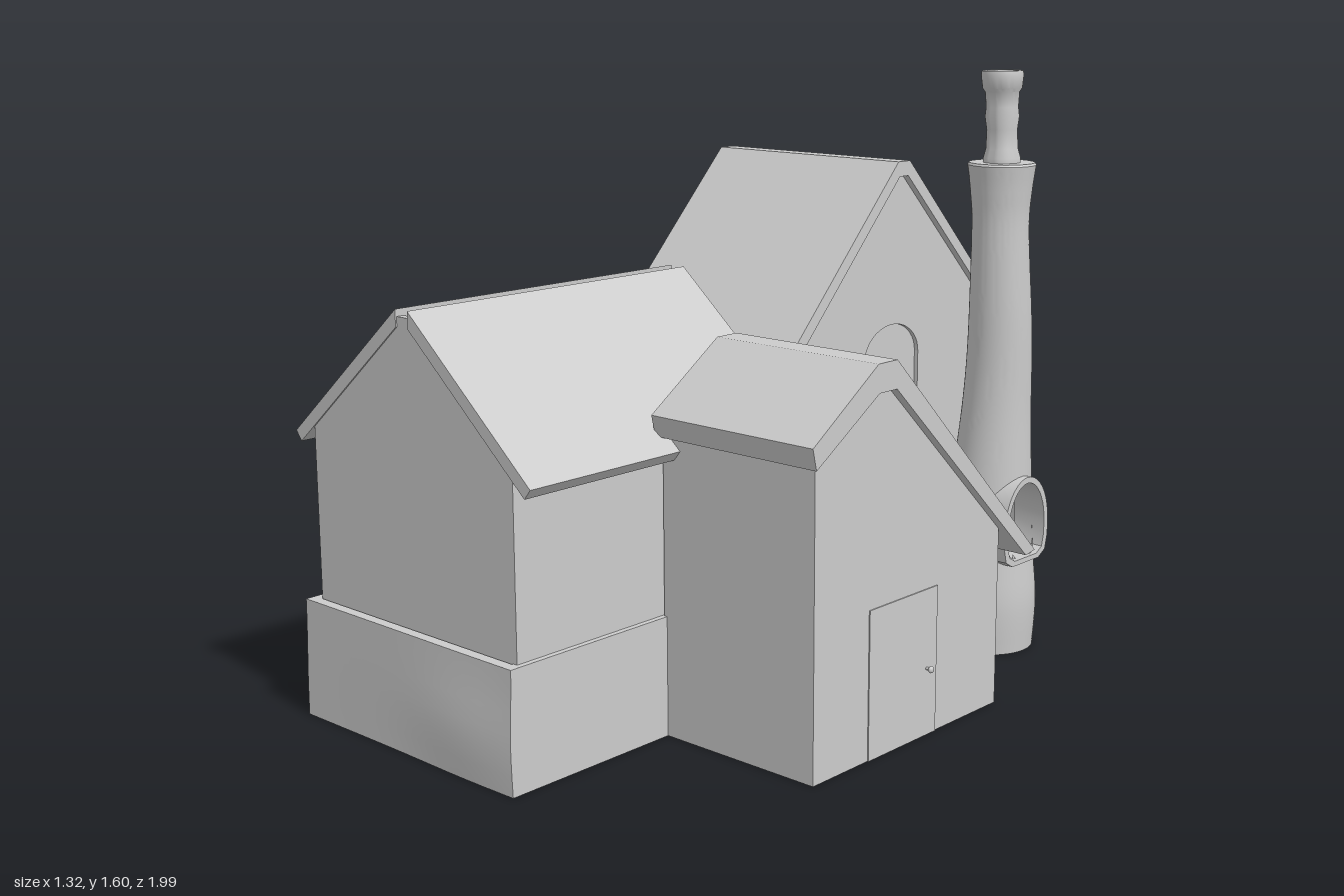
import * as THREE from 'three';
import { toCreasedNormals } from 'three/addons/utils/BufferGeometryUtils.js';

const material = new THREE.MeshStandardMaterial({ color: 0xcccccc, side: THREE.DoubleSide });

function add(parent, name, geometry) {
  const mesh = new THREE.Mesh(geometry, material);
  mesh.name = name;
  parent.add(mesh);
  return mesh;
}

const toShape = (points) => new THREE.Shape(points.map(([x, y]) => new THREE.Vector2(x, y)));

// Extrude an (x, y) profile from z0 to z1
function alongZ(points, z0, z1) {
  return new THREE.ExtrudeGeometry(toShape(points), { depth: z1 - z0, bevelEnabled: false }).translate(0, 0, z0);
}

// Extrude a (z, y) profile from x0 to x1, optionally with a hole
function alongX(points, x0, x1, hole) {
  const flip = (list) => list.map(([z, y]) => [-z, y]);
  const shape = toShape(flip(points));
  if (hole) shape.holes.push(toShape(flip(hole)));
  return new THREE.ExtrudeGeometry(shape, { depth: x1 - x0, bevelEnabled: false })
    .rotateY(Math.PI / 2).translate(x0, 0, 0);
}

// Box given by its minimum and maximum corners
function box(x0, x1, y0, y1, z0, z1) {
  return new THREE.BoxGeometry(x1 - x0, y1 - y0, z1 - z0)
    .translate((x0 + x1) / 2, (y0 + y1) / 2, (z0 + z1) / 2);
}

// Finely divided rectangle outline, so its sides can be bent
function outline(x0, x1, z0, z1) {
  const corners = [[x0, -z1], [x1, -z1], [x1, -z0], [x0, -z0]];
  const points = [];
  corners.forEach(([ax, ay], i) => {
    const [bx, by] = corners[(i + 1) % 4];
    for (let k = 0; k < 14; k++) {
      const t = k / 14;
      points.push([ax + (bx - ax) * t, ay + (by - ay) * t]);
    }
  });
  return points;
}

// Hollow stone plinth whose outer faces are displaced by bend(point)
function plinth(x0, x1, z0, z1, height, wall, bend) {
  const shape = toShape(outline(x0, x1, z0, z1));
  shape.holes.push(toShape(outline(x0 + wall, x1 - wall, z0 + wall, z1 - wall)));
  const geometry = new THREE.ExtrudeGeometry(shape, { depth: height, steps: 6, bevelEnabled: false })
    .rotateX(-Math.PI / 2);
  const position = geometry.attributes.position;
  const p = new THREE.Vector3();
  for (let i = 0; i < position.count; i++) {
    p.fromBufferAttribute(position, i);
    bend(p);
    position.setXYZ(i, p.x, p.y, p.z);
  }
  return toCreasedNormals(geometry, 0.6);
}

const bump = (v, centre, width) => Math.exp(-(((v - centre) / width) ** 2));

// Upright arch outline in (z, y)
function arch(z, halfWidth, y0, y1, rise, corner = 0) {
  const points = corner
    ? [[z - halfWidth, y0 + corner], [z - halfWidth * 0.9, y0 + corner * 0.3], [z - halfWidth * 0.6, y0],
      [z + halfWidth * 0.6, y0], [z + halfWidth * 0.9, y0 + corner * 0.3], [z + halfWidth, y0 + corner]]
    : [[z - halfWidth, y0], [z + halfWidth, y0]];
  for (let i = 0; i <= 20; i++) {
    const a = (i / 20) * Math.PI;
    points.push([z + halfWidth * Math.cos(a), y1 - rise + rise * Math.sin(a)]);
  }
  return points;
}

function frontHouse() {
  const group = new THREE.Group();
  group.name = 'frontHouse';
  const gable = [[-0.585, 0], [0.15, 0], [0.15, 0.765], [-0.2, 1.072], [-0.245, 1.072], [-0.585, 0.775]];
  add(group, 'frontGable', alongZ(gable, 0.93, 0.951));
  add(group, 'backGable', alongZ(gable, 0.033, 0.05));
  add(group, 'leftWall', box(0.13, 0.15, 0, 0.765, 0.04, 0.95));
  add(group, 'rightWall', box(-0.585, -0.565, 0, 0.77, 0.04, 0.95));
  // Two roof slabs with an open slot along the ridge
  const slab = [[0.022, 1.09], [0.435, 0.735], [0.415, 0.71], [0.022, 1.047]];
  for (const side of [-1, 1]) {
    add(group, side > 0 ? 'leftRoof' : 'rightRoof',
      alongZ(slab.map(([x, y]) => [-0.222 + side * x, y]), 0.028, 0.955));
  }
  add(group, 'frontPlinth', plinth(-0.61, 0.165, 0, 0.983, 0.31, 0.028, (p) => {
    const low = 1 - THREE.MathUtils.smoothstep(p.y, 0.03, 0.31);
    if (p.x < -0.6) p.x -= 0.05 * low * bump(p.z, 0.77, 0.16) + 0.008 * bump(p.z, 0.35, 0.15);
    if (p.z > 0.97) p.z += 0.014 * bump(p.x, 0, 0.2) * bump(p.y, 0.12, 0.12);
  }));
  return group;
}

function mainHouse() {
  const group = new THREE.Group();
  group.name = 'mainHouse';
  const gable = [[0, 0], [0, 0.87], [-0.43, 1.325], [-0.47, 1.325], [-0.935, 0.845], [-0.935, 0]];
  const windowArch = arch(-0.433, 0.118, 0.52, 0.913, 0.09);
  add(group, 'leftGable', alongX(gable, 0.115, 0.145, windowArch));
  add(group, 'rightGable', alongX(gable, -0.46, -0.44));
  add(group, 'archedWindow', alongX(windowArch, 0.118, 0.133));
  add(group, 'backWall', box(-0.455, 0.14, 0, 0.85, -0.935, -0.915));
  add(group, 'frontWall', box(-0.455, 0.14, 0, 0.87, -0.02, 0));
  add(group, 'mainRoof', alongX([
    [0.03, 0.878], [-0.425, 1.358], [-0.475, 1.358], [-0.998, 0.818],
    [-0.998, 0.78], [-0.468, 1.318], [-0.432, 1.318], [0.03, 0.83],
  ], -0.48, 0.165));
  add(group, 'mainPlinth', plinth(-0.495, 0.18, -0.96, 0, 0.33, 0.035, (p) => {
    if (p.x < -0.49) p.x -= 0.035 * bump(p.z, -0.38, 0.16) + 0.012 * bump(p.z, -0.93, 0.1) + 0.01 * bump(p.z, 0, 0.1);
    if (p.x > 0.175) p.x += 0.012 * bump(p.z, -0.9, 0.25);
    if (p.z < -0.95) p.z -= 0.01 * bump(p.x, 0.15, 0.1) * bump(p.y, 0.25, 0.12);
  }));
  return group;
}

function annex() {
  const group = new THREE.Group();
  group.name = 'annex';
  const gable = [[0.475, 0], [0.475, 0.8], [0.27, 0.93], [0.21, 0.93], [-0.255, 0.49], [-0.255, 0]];
  add(group, 'leftGable', alongX(gable, 0.615, 0.635));
  add(group, 'rightGable', alongX(gable, 0.156, 0.176));
  add(group, 'frontWall', box(0.16, 0.63, 0, 0.79, 0.455, 0.475));
  add(group, 'backWall', box(0.16, 0.63, 0, 0.48, -0.255, -0.235));
  // Long rear slope, short front slope
  add(group, 'annexRoof', alongX([
    [0.513, 0.822], [0.28, 0.98], [0.21, 0.98], [-0.385, 0.388],
    [-0.345, 0.382], [0.21, 0.91], [0.275, 0.91], [0.5, 0.768],
  ], 0.155, 0.66));
  add(group, 'door', box(0.625, 0.638, 0, 0.38, 0.005, 0.272));
  const stem = new THREE.CylinderGeometry(0.004, 0.004, 0.016, 10).rotateZ(Math.PI / 2);
  add(group, 'doorKnobStem', stem.translate(0.643, 0.175, 0.045));
  const knob = new THREE.SphereGeometry(0.009, 14, 10).scale(0.7, 1, 1);
  add(group, 'doorKnob', knob.translate(0.652, 0.175, 0.045));
  return group;
}

function chimney() {
  const group = new THREE.Group();
  group.name = 'chimney';
  const step = THREE.MathUtils.smoothstep;
  const centreX = (y) => 0.335 + 0.025 * step(y, 0.2, 1);
  const centreZ = (y) => -0.641 + 0.017 * step(y, 0.75, 1.25);

  // Stack: swelling foot, narrow waist, flared top
  const profile = new THREE.SplineCurve([
    [0.13, 0], [0.136, 0.14], [0.122, 0.3], [0.108, 0.5], [0.094, 0.7],
    [0.085, 0.95], [0.077, 1.18], [0.083, 1.28], [0.092, 1.35],
  ].map(([r, y]) => new THREE.Vector2(r, y))).getSpacedPoints(80);
  profile.push(new THREE.Vector2(0.088, 1.356), new THREE.Vector2(0.04, 1.356));
  const stack = new THREE.LatheGeometry(profile, 64);
  const position = stack.attributes.position;
  for (let i = 0; i < position.count; i++) {
    const y = position.getY(i);
    position.setX(i, position.getX(i) + centreX(y));
    position.setZ(i, position.getZ(i) + centreZ(y));
  }
  // Leave out the faces behind the hearth mouth
  const index = stack.index.array;
  const kept = [];
  for (let i = 0; i < index.length; i += 3) {
    const tri = [index[i], index[i + 1], index[i + 2]];
    const mean = (get) => tri.reduce((sum, v) => sum + get(v), 0) / 3;
    const x = mean((v) => position.getX(v));
    const dy = (mean((v) => position.getY(v)) - 0.38) / 0.112;
    const dz = (mean((v) => position.getZ(v)) + 0.632) / 0.092;
    if (x < 0.35 || dy * dy + dz * dz > 1) kept.push(...tri);
  }
  stack.setIndex(kept);
  add(group, 'chimneyStack', toCreasedNormals(stack, 0.7));

  // Hearth mouth with a raised rim
  const rim = alongX(arch(-0.632, 0.104, 0.258, 0.5, 0.14, 0.06), 0.37, 0.468,
    arch(-0.632, 0.086, 0.272, 0.483, 0.125, 0.05));
  add(group, 'hearthRim', toCreasedNormals(rim, 0.7));

  // Open pot with a collar, leaning a little
  const pot = new THREE.LatheGeometry([
    [0.05, 0], [0.05, 0.015], [0.043, 0.04], [0.041, 0.09], [0.046, 0.125], [0.043, 0.15], [0.046, 0.19],
    [0.053, 0.2], [0.057, 0.235], [0.055, 0.246], [0.042, 0.246], [0.038, 0.2], [0.036, 0.16], [0, 0.16],
  ].map(([r, y]) => new THREE.Vector2(r, y)), 32);
  const mesh = add(group, 'chimneyPot', toCreasedNormals(pot, 0.6));
  mesh.position.set(0.36, 1.353, -0.623);
  mesh.rotation.z = 0.02;
  return group;
}

export function createModel() {
  const model = new THREE.Group();
  model.name = 'cottage';
  model.add(frontHouse(), mainHouse(), annex(), chimney());
  return model;
}
